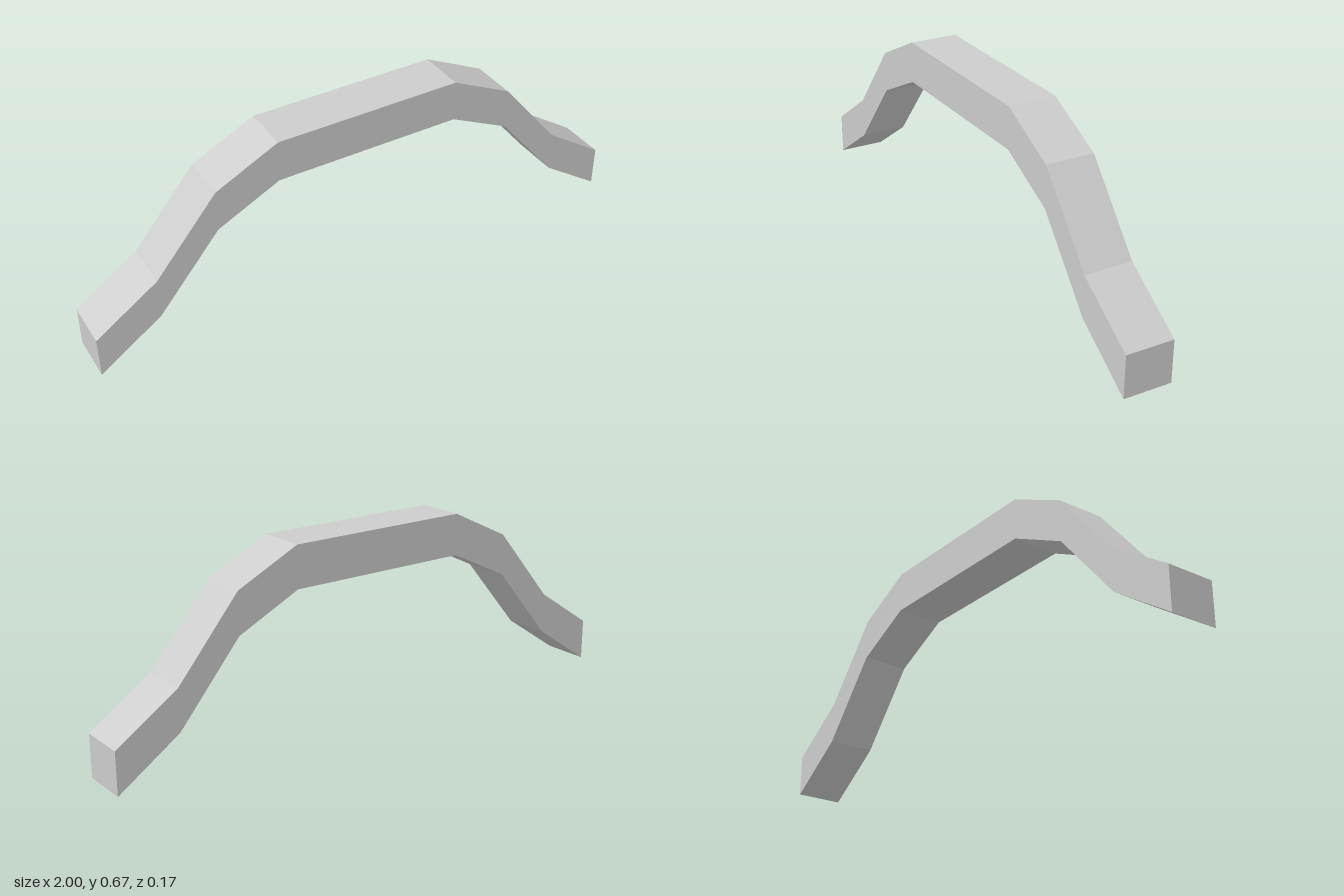
import * as THREE from 'three';

export function createModel() {
  const group = new THREE.Group();
  group.name = 'archedBeam';

  const grey = new THREE.MeshStandardMaterial({ color: 0xcccccc });
  grey.name = 'lightGrey';

  // Upper edge of one half, from the crown out to the foot
  const half = [[0.333, 0.672], [0.556, 0.563], [0.778, 0.298], [1, 0.149]];
  const mirrored = half.map(([x, y]) => [-x, y]).reverse();
  const upper = [...mirrored, ...half];

  // The lower edge is the upper edge dropped by a constant height
  const height = 0.147;
  const lower = upper.map(([x, y]) => [x, Math.max(0, y - height)]);
  lower[0][1] = lower[lower.length - 1][1] = 0;
  const outline = [...lower, ...upper.reverse()].map(([x, y]) => new THREE.Vector2(x, y));

  // Faceted beam, extruded front to back
  const depth = 0.17;
  const geometry = new THREE.ExtrudeGeometry(new THREE.Shape(outline), { depth, bevelEnabled: false });
  geometry.translate(0, 0, -depth / 2);

  const beam = new THREE.Mesh(geometry, grey);
  beam.name = 'beam';
  group.add(beam);
  return group;
}
